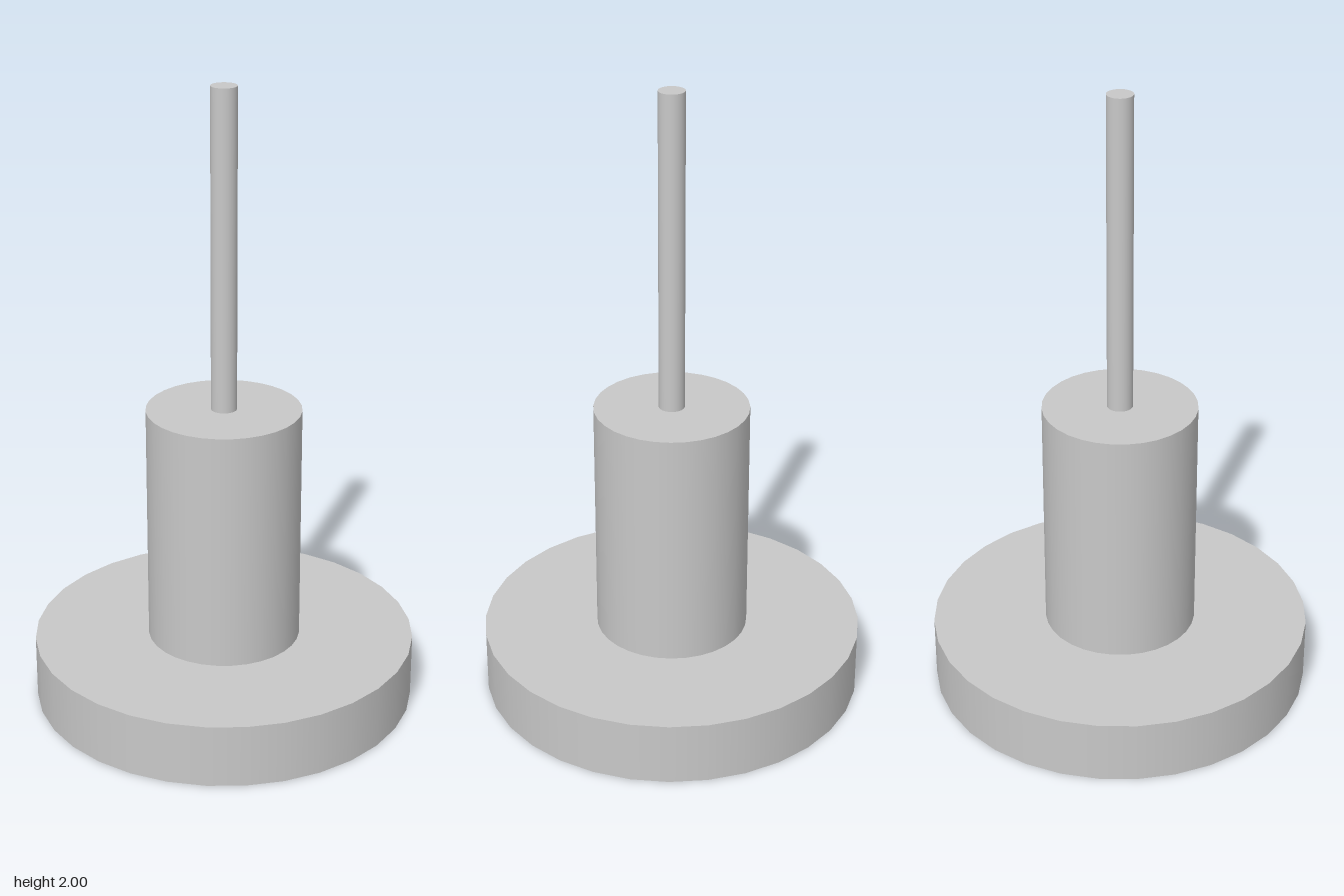
import * as THREE from 'three';

export function createModel() {
  const model = new THREE.Group();
  model.name = 'steppedPlunger';

  const grey = new THREE.MeshStandardMaterial({ color: 0xc8c8c8 });
  grey.name = 'plain grey';

  // Upright cylinder spanning two heights
  function addCylinder(name, radius, bottom, top) {
    const geometry = new THREE.CylinderGeometry(radius, radius, top - bottom, 32);
    const mesh = new THREE.Mesh(geometry, grey);
    mesh.name = name;
    mesh.position.y = (bottom + top) / 2;
    model.add(mesh);
  }

  addCylinder('baseDisc', 0.612, 0, 0.204); // wide foot
  addCylinder('body', 0.245, 0.204, 0.98); // thick middle column
  addCylinder('rod', 0.041, 0.98, 2); // thin shaft on top

  return model;
}
